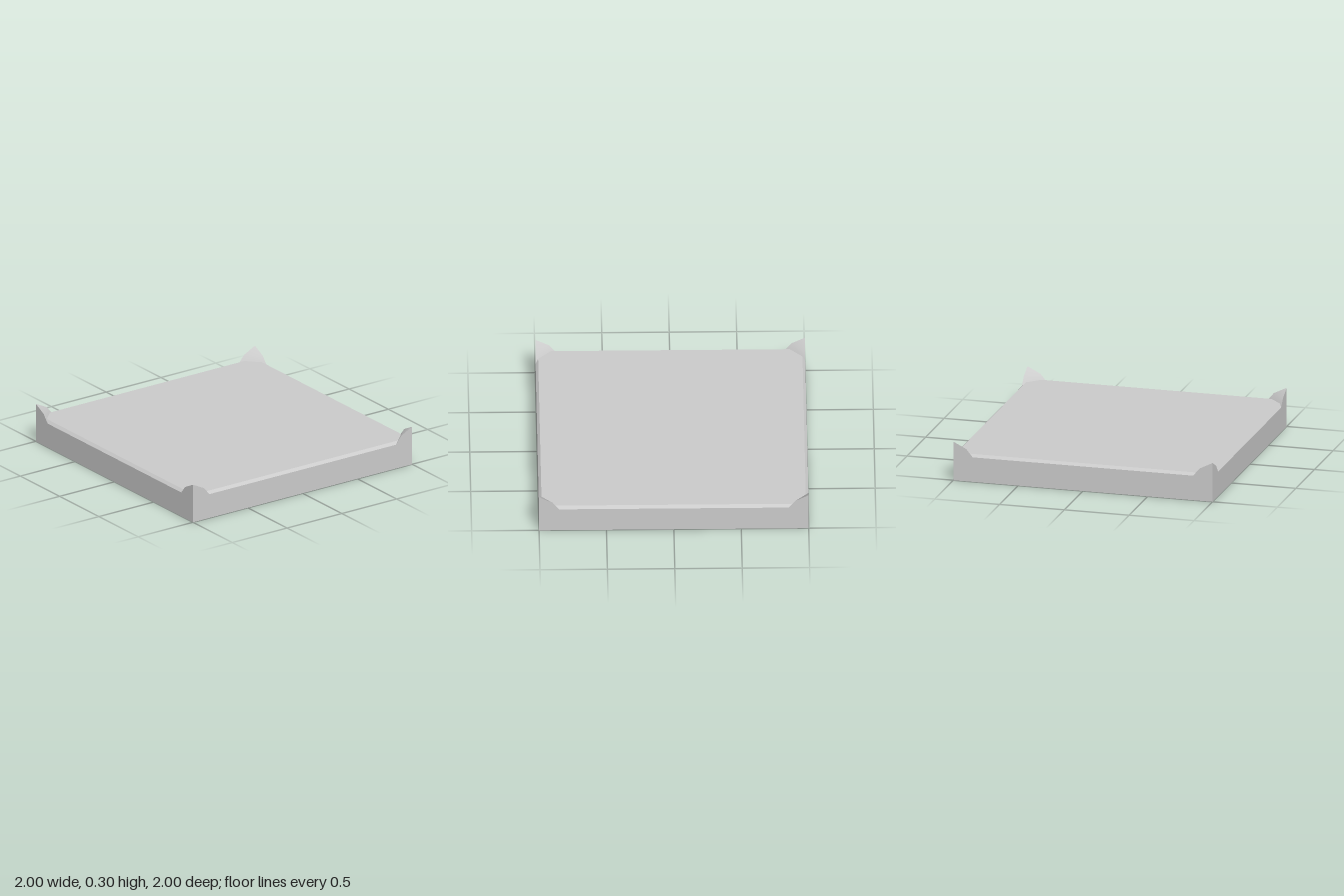
import * as THREE from 'three';

const material = new THREE.MeshStandardMaterial({ color: 0xcccccc });

// Square slab with a small chamfer around its top edge
function slabGeometry() {
  const r = Math.SQRT2;
  const profile = [[0, 0], [r, 0], [r, 0.19], [0.98 * r, 0.21], [0, 0.21]]
    .map(([x, y]) => new THREE.Vector2(x, y));
  const geometry = new THREE.LatheGeometry(profile, 4, Math.PI / 4).toNonIndexed();
  geometry.computeVertexNormals();
  return geometry;
}

// Raised corner: two flat outer walls and a smooth sloping inner face
function cornerGeometry() {
  const a = [0.85, 0.19, 1], b = [0.9, 0.25, 1], peak = [1, 0.3, 1];
  const b2 = [1, 0.25, 0.9], a2 = [1, 0.19, 0.85], foot = [1, 0.19, 1];
  const points = [
    a, b, peak, b2, a2,   // inner face
    a, foot, peak, b,     // front wall
    foot, a2, b2, peak,   // side wall
  ];
  const geometry = new THREE.BufferGeometry();
  geometry.setAttribute('position', new THREE.Float32BufferAttribute(points.flat(), 3));
  geometry.setIndex([
    0, 3, 4, 0, 1, 3, 1, 2, 3,
    5, 6, 7, 5, 7, 8,
    9, 10, 11, 9, 11, 12,
  ]);
  geometry.computeVertexNormals();
  return geometry;
}

export function createModel() {
  const model = new THREE.Group();
  model.name = 'cornerTile';

  const slab = new THREE.Mesh(slabGeometry(), material);
  slab.name = 'slab';
  model.add(slab);

  // The same corner turned to all four sides
  const geometry = cornerGeometry();
  ['frontLeftCorner', 'backLeftCorner', 'backRightCorner', 'frontRightCorner'].forEach((name, i) => {
    const corner = new THREE.Mesh(geometry, material);
    corner.name = name;
    corner.rotation.y = i * Math.PI / 2;
    model.add(corner);
  });
  return model;
}
